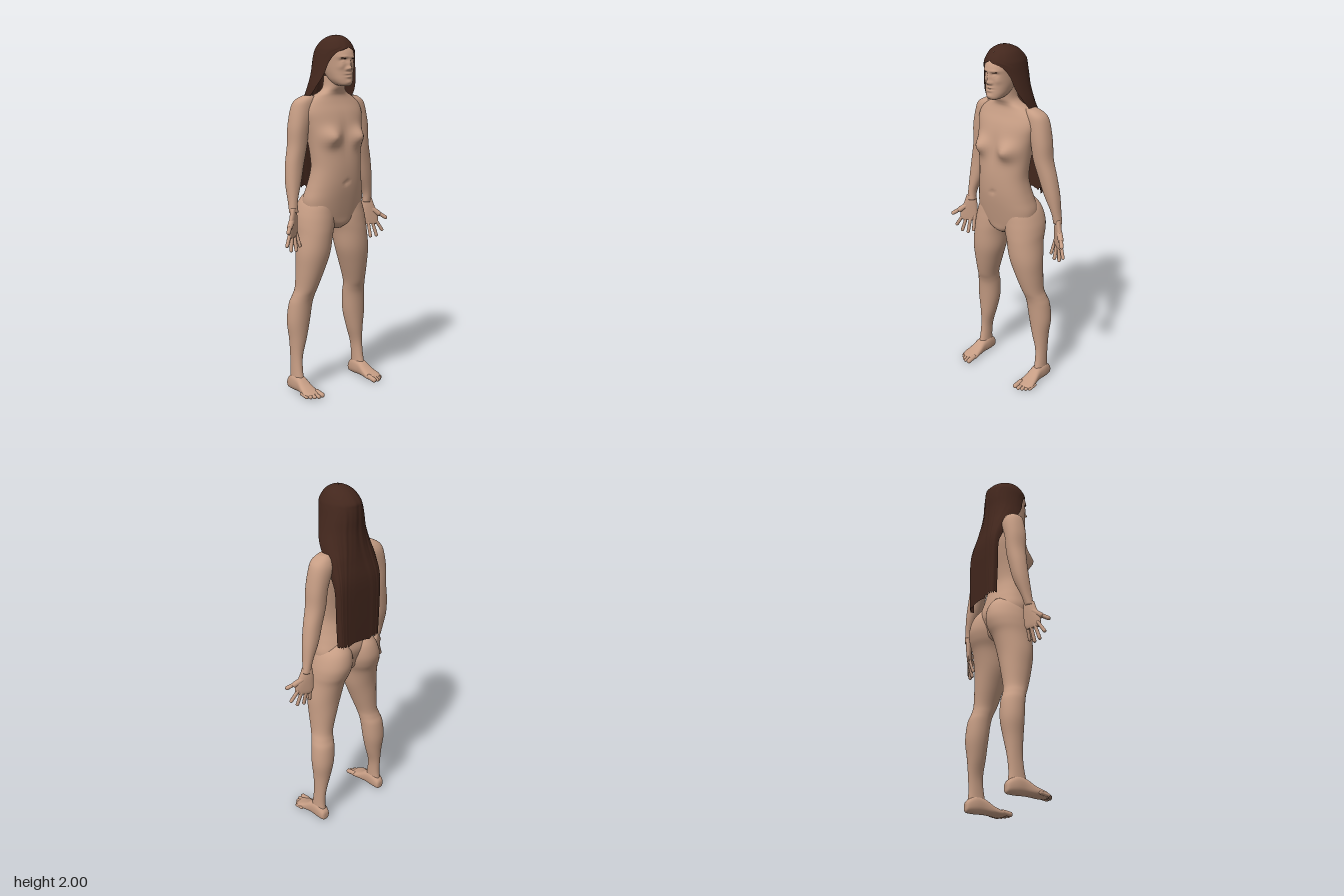
import * as THREE from 'three';

const skin = new THREE.MeshStandardMaterial({ color: 0xc69d84 });
skin.name = 'skin';
const hairBrown = new THREE.MeshStandardMaterial({ color: 0x43271d, side: THREE.DoubleSide });
hairBrown.name = 'hairBrown';

// Catmull-Rom subdivision of a list of number rows
function smoothRows(rows, sub) {
  const out = [], n = rows.length;
  for (let i = 0; i < n - 1; i++) {
    const [a, b, c, d] = [rows[Math.max(i - 1, 0)], rows[i], rows[i + 1], rows[Math.min(i + 2, n - 1)]];
    for (let s = 0; s < sub; s++) {
      const t = s / sub;
      out.push(b.map((_, k) => 0.5 * (2 * b[k] + (c[k] - a[k]) * t
        + (2 * a[k] - 5 * b[k] + 4 * c[k] - d[k]) * t * t
        + (3 * b[k] - a[k] - 3 * c[k] + d[k]) * t * t * t)));
    }
  }
  out.push(rows[n - 1]);
  return out;
}

const spow = (v, p) => Math.sign(v) * Math.abs(v) ** p;

function gridIndex(rows, cols, wrap) {
  const idx = [], w = wrap ? cols : cols - 1;
  for (let i = 0; i < rows - 1; i++) for (let j = 0; j < w; j++) {
    const a = i * cols + j, b = i * cols + (j + 1) % cols, c = a + cols, d = b + cols;
    idx.push(a, c, b, b, c, d);
  }
  return idx;
}

function gridGeometry(pos, rows, cols, wrap) {
  const g = new THREE.BufferGeometry();
  g.setAttribute('position', new THREE.Float32BufferAttribute(pos, 3));
  g.setIndex(gridIndex(rows, cols, wrap));
  g.computeVertexNormals();
  return g;
}

// Closed loft of rounded sections. Row: [y, centre x, half width, z front, z back]
// Bump: [x, y, spread x, spread y, push along z], applied to the front only
function loft(rows, { seg = 32, sub = 5, power = 0.88, bumps = [] } = {}) {
  const sorted = [...rows].sort((p, q) => p[0] - q[0]);
  const fine = smoothRows(sorted, sub);
  const tip = r => [r[0], r[1], 0, (r[3] + r[4]) / 2, (r[3] + r[4]) / 2];
  fine.unshift(tip(fine[0]));
  fine.push(tip(fine[fine.length - 1]));
  const pos = [];
  for (const [y, cx, hw, zf, zb] of fine) for (let j = 0; j < seg; j++) {
    const a = j / seg * Math.PI * 2, s = spow(Math.sin(a), power);
    const x = cx + hw * spow(Math.cos(a), power);
    let z = (zf + zb) / 2 + (zf - zb) / 2 * s;
    if (s > 0) for (const [bx, by, sx, sy, d] of bumps)
      z += d * Math.min(1, s * 2) * Math.exp(-(((x - bx) / sx) ** 2) - ((y - by) / sy) ** 2);
    pos.push(x, y, z);
  }
  return gridGeometry(pos, fine.length, seg, true);
}

function add(parent, name, geometry, material = skin) {
  const m = new THREE.Mesh(geometry, material);
  m.name = name;
  parent.add(m);
  return m;
}

// Rounded digit between two points
function digit(parent, name, from, to, r) {
  const a = new THREE.Vector3(...from), b = new THREE.Vector3(...to), dir = b.clone().sub(a);
  const m = add(parent, name, new THREE.CapsuleGeometry(r, dir.length(), 6, 12));
  m.position.copy(a).add(b).multiplyScalar(0.5);
  m.quaternion.setFromUnitVectors(new THREE.Vector3(0, 1, 0), dir.normalize());
  return m;
}

const pair = (x, ...rest) => [[x, ...rest], [-x, ...rest]];

function buildTorso(body) {
  add(body, 'torso', loft([
    [0.93, 0, 0.025, 0.05, -0.05], [0.955, 0, 0.08, 0.08, -0.085], [1.0, 0, 0.17, 0.09, -0.1],
    [1.08, 0, 0.19, 0.106, -0.122], [1.15, 0, 0.176, 0.118, -0.108], [1.21, 0, 0.163, 0.124, -0.09],
    [1.28, 0, 0.154, 0.125, -0.076], [1.36, 0, 0.16, 0.12, -0.08], [1.45, 0, 0.172, 0.112, -0.095],
    [1.52, 0, 0.185, 0.1, -0.104], [1.58, 0, 0.195, 0.082, -0.1], [1.63, 0, 0.18, 0.06, -0.086],
    [1.667, 0, 0.135, 0.048, -0.072], [1.69, 0, 0.085, 0.052, -0.062], [1.72, 0, 0.059, 0.066, -0.055],
    [1.78, 0, 0.054, 0.075, -0.05],
  ], { seg: 64, bumps: [
    ...pair(0.095, 1.445, 0.048, 0.045, 0.046),
    [0, 1.45, 0.025, 0.08, -0.008], [0, 1.195, 0.012, 0.012, -0.01],
  ] }));
}

function buildHead(body) {
  add(body, 'head', loft([
    [1.722, 0, 0.022, 0.125, 0.085], [1.732, 0, 0.042, 0.136, 0.04], [1.755, 0, 0.057, 0.138, 0.0],
    [1.785, 0, 0.066, 0.136, -0.03], [1.82, 0, 0.073, 0.136, -0.065], [1.86, 0, 0.077, 0.14, -0.085],
    [1.89, 0, 0.079, 0.14, -0.09], [1.925, 0, 0.077, 0.122, -0.085], [1.96, 0, 0.056, 0.085, -0.06],
    [1.982, 0, 0.025, 0.045, -0.01],
  ], { seg: 72, sub: 7, bumps: [
    [0, 1.84, 0.010, 0.024, 0.014], [0, 1.817, 0.014, 0.011, 0.020],
    ...pair(0.015, 1.813, 0.007, 0.007, 0.007),
    ...pair(0.031, 1.859, 0.017, 0.010, -0.014), ...pair(0.031, 1.856, 0.010, 0.006, 0.009),
    ...pair(0.03, 1.878, 0.022, 0.007, 0.005), ...pair(0.047, 1.825, 0.014, 0.015, 0.005),
    [0, 1.789, 0.020, 0.006, 0.009], [0, 1.772, 0.017, 0.006, 0.008],
    [0, 1.781, 0.022, 0.0025, -0.005], [0, 1.743, 0.018, 0.012, 0.006],
  ] }));
  // thin brows
  for (const s of [1, -1]) {
    const brow = add(body, 'brow', new THREE.SphereGeometry(1, 16, 8), hairBrown);
    brow.scale.set(0.017, 0.0032, 0.004);
    brow.position.set(s * 0.032, 1.871, 0.131);
    brow.rotation.set(0, s * 0.3, s * 0.1);
  }
}

// Hair: arcs wrapped around the back. Row: [y, half width, depth, z centre, half angle, squareness]
function buildHair(body) {
  const P = Math.PI, cols = 121;
  const rows = smoothRows([
    [2.0, 0.002, 0.002, 0.025, P, 1], [1.994, 0.034, 0.04, 0.023, P, 1], [1.97, 0.071, 0.085, 0.018, P, 1],
    [1.93, 0.095, 0.12, 0.012, P, 1], [1.9, 0.104, 0.125, 0.01, 2.5, 0.97], [1.85, 0.113, 0.122, 0.005, 2.2, 0.93],
    [1.78, 0.127, 0.116, 0, 2.05, 0.9], [1.7, 0.145, 0.108, -0.015, 1.75, 0.8], [1.62, 0.153, 0.075, -0.06, 1.6, 0.6],
    [1.5, 0.156, 0.046, -0.11, 1.57, 0.4], [1.32, 0.15, 0.044, -0.116, 1.57, 0.35], [1.155, 0.142, 0.042, -0.118, 1.57, 0.33],
  ], 6);
  const pos = [];
  rows.forEach(([y, rx, rz, zc, span, p], i) => {
    const t = i / (rows.length - 1);
    for (let j = 0; j < cols; j++) {
      const u = j / (cols - 1) * 2 - 1, a = u * Math.min(span, P);
      const strand = Math.sin(u * 31) + 0.6 * Math.sin(u * 53 + 1);
      const k = 1 + 0.012 * strand * Math.min(1, t * 2);
      const jag = 0.006 * strand * Math.max(0, t * 5 - 4);
      pos.push(rx * spow(Math.sin(a), p), y + jag, zc - rz * k * spow(Math.cos(a), p));
    }
  });
  add(body, 'longHair', gridGeometry(pos, rows.length, cols, false), hairBrown);
}

function buildArm(body, s, wristZ) {
  const arm = new THREE.Group();
  arm.name = s > 0 ? 'leftArm' : 'rightArm';
  body.add(arm);
  const out = s * 0.017; // one forearm hangs a little wider than the other
  const row = (y, d, r, z, rz) => {
    const t = THREE.MathUtils.clamp((1.45 - y) / 0.4, 0, 1);
    const cz = THREE.MathUtils.lerp(z, wristZ, t * t);
    return [y, s * (d + out * t), r, cz + rz, cz - rz];
  };
  add(arm, 'upperAndLowerArm', loft([
    row(1.672, 0.15, 0.03, -0.03, 0.03), row(1.645, 0.172, 0.056, -0.035, 0.05), row(1.6, 0.185, 0.066, -0.04, 0.06),
    row(1.5, 0.214, 0.056, -0.04, 0.06), row(1.4, 0.224, 0.053, -0.042, 0.055), row(1.3, 0.248, 0.051, -0.046, 0.048),
    row(1.2, 0.27, 0.043, -0.05, 0.042), row(1.1, 0.293, 0.025, -0.05, 0.029), row(1.04, 0.298, 0.026, -0.05, 0.022),
  ]));
  // palm, thumb side turned outward and forward
  const palm = loft([
    [1.065, 0.298, 0.022, 0.02, -0.02], [1.02, 0.302, 0.032, 0.021, -0.019], [0.97, 0.31, 0.043, 0.02, -0.014],
    [0.925, 0.313, 0.044, 0.018, -0.008], [0.905, 0.313, 0.034, 0.016, -0.002],
  ]);
  const p = palm.attributes.position;
  for (let i = 0; i < p.count; i++) {
    const x = p.getX(i);
    p.setXYZ(i, x, p.getY(i), p.getZ(i) + (x - 0.3) * 0.5);
  }
  if (s < 0) palm.scale(-1, 1, 1).setIndex([...palm.index.array].reverse());
  palm.computeVertexNormals();
  const hand = new THREE.Group();
  hand.name = 'hand';
  hand.position.set(0.017, 0, wristZ);
  arm.add(hand);
  add(hand, 'palm', palm);
  const h = (d, y, z) => [s * d, y, z];
  [
    [0.28, 0.93, -0.004, 0.27, 0.853, 0.016, 0.0088], [0.302, 0.92, 0.006, 0.303, 0.835, 0.027, 0.01],
    [0.325, 0.92, 0.017, 0.343, 0.838, 0.035, 0.01], [0.345, 0.928, 0.026, 0.378, 0.868, 0.045, 0.0098],
  ].forEach(([a, b, c, d, e, f, r]) => digit(hand, 'finger', h(a, b, c), h(d, e, f), r));
  digit(hand, 'thumbBase', h(0.32, 1.0, 0.012), h(0.355, 0.968, 0.04), 0.016);
  digit(hand, 'thumb', h(0.352, 0.972, 0.038), h(0.385, 0.945, 0.068), 0.0115);
}

function buildLeg(body, s) {
  const leg = new THREE.Group();
  leg.name = s > 0 ? 'leftLeg' : 'rightLeg';
  body.add(leg);
  add(leg, 'thighAndCalf', loft([
    [1.14, 0.085, 0.05, 0.04, -0.105], [1.09, 0.093, 0.09, 0.08, -0.142], [1.02, 0.104, 0.107, 0.09, -0.157],
    [0.96, 0.114, 0.108, 0.094, -0.146], [0.9, 0.126, 0.1, 0.095, -0.122], [0.8, 0.141, 0.096, 0.09, -0.102],
    [0.7, 0.158, 0.079, 0.07, -0.095], [0.6, 0.176, 0.062, 0.042, -0.092], [0.55, 0.187, 0.063, 0.022, -0.102],
    [0.5, 0.196, 0.067, 0.01, -0.118], [0.4, 0.205, 0.065, 0, -0.125], [0.3, 0.211, 0.048, -0.008, -0.112],
    [0.2, 0.223, 0.031, -0.015, -0.1], [0.11, 0.227, 0.028, -0.005, -0.095], [0.04, 0.228, 0.03, 0.015, -0.105],
  ].map(([y, d, ...r]) => [y, s * d, ...r]), { seg: 40, power: 0.95 }));
  // foot: lofted from heel to toes, then laid flat
  const foot = loft([
    [-0.115, 0.228, 0.014, -0.018, -0.05], [-0.105, 0.228, 0.028, -0.004, -0.07], [-0.06, 0.228, 0.036, -0.001, -0.1],
    [-0.005, 0.228, 0.036, -0.003, -0.088], [0.045, 0.23, 0.043, -0.002, -0.056], [0.085, 0.232, 0.05, -0.001, -0.037],
    [0.11, 0.228, 0.043, -0.003, -0.028], [0.122, 0.22, 0.03, -0.006, -0.022],
  ].map(([y, d, ...r]) => [y, s * d, ...r]), { power: 0.8 });
  add(leg, 'foot', foot.rotateX(Math.PI / 2));
  [[0.194, 0.141, 0.0145], [0.219, 0.143, 0.011], [0.24, 0.134, 0.0105], [0.258, 0.12, 0.01], [0.274, 0.104, 0.0095]]
    .forEach(([d, z, r]) => digit(leg, 'toe', [s * (d + 0.002), r + 0.008, z - 0.045], [s * d, r, z], r));
}

export function createModel() {
  const model = new THREE.Group();
  model.name = 'standingFigure';
  const body = new THREE.Group();
  body.name = 'body';
  body.position.x = -0.022;
  model.add(body);
  buildTorso(body);
  buildHead(body);
  buildHair(body);
  buildArm(body, 1, -0.068);
  buildArm(body, -1, 0.005);
  buildLeg(body, 1);
  buildLeg(body, -1);
  // hands follow the wider or closer forearm
  body.traverse(o => { if (o.name === 'hand') o.position.x = 0.017; });
  return model;
}
